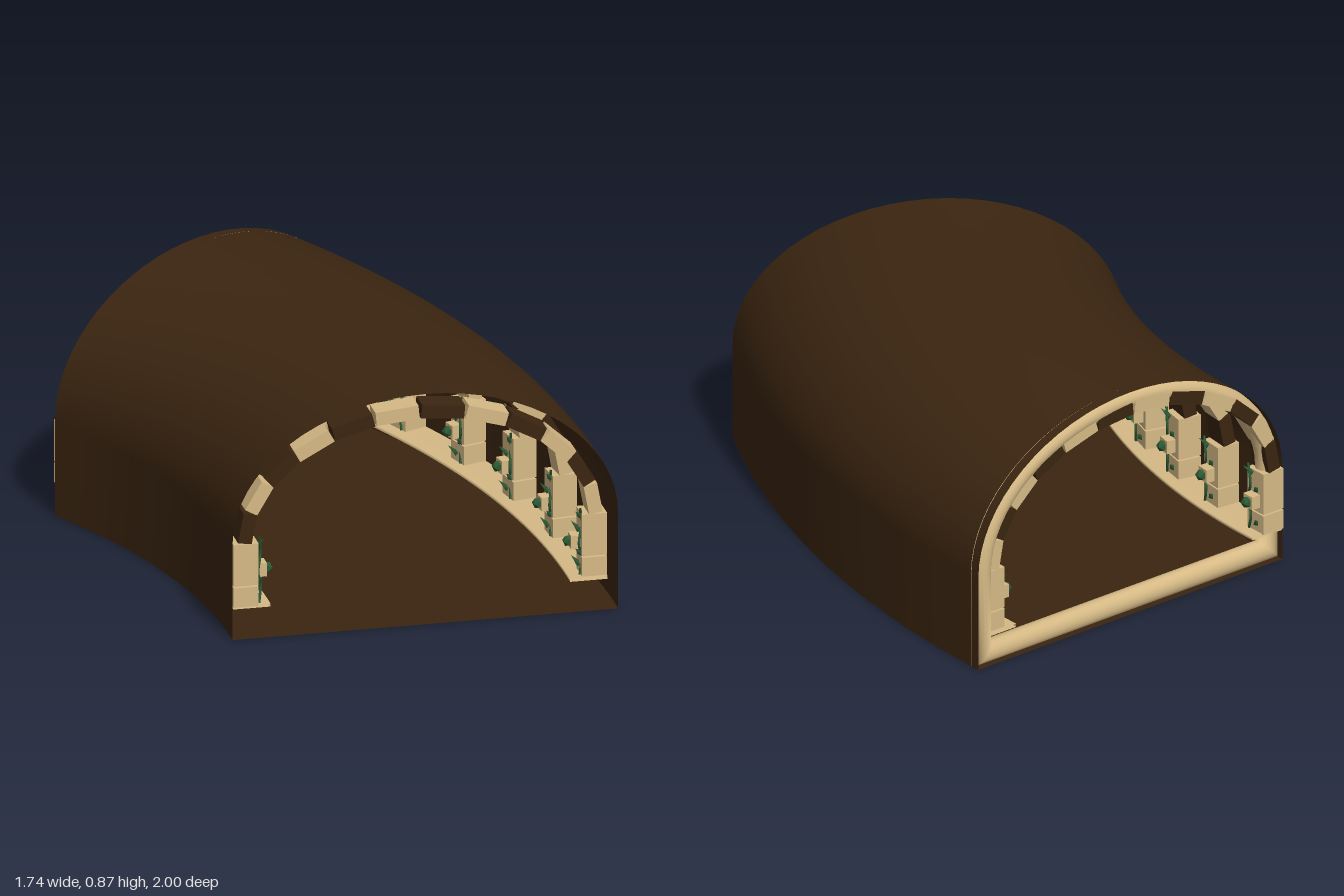
import * as THREE from 'three';

const PIVOT_X = -3.12, PIVOT_Z = 1;      // centre of the bend
const MID = 3.295, HALF = 0.695;         // centreline radius, half width
const SPRING = 0.36, TOP = 0.87;         // where the arch starts and ends
const BEND = Math.PI / 6;

const mat = (name, color, side = THREE.FrontSide) => {
  const m = new THREE.MeshStandardMaterial({ color, side });
  m.name = name;
  return m;
};

// Arch outline as [radius, y], from the outer foot over the top to the inner foot
function archOutline(inset = 0, base = 0, n = 32) {
  const pts = [[MID + HALF - inset, base]];
  for (let i = 0; i <= n; i++) {
    const a = (Math.PI * i) / n;
    pts.push([MID + (HALF - inset) * Math.cos(a), SPRING + (TOP - SPRING - inset) * Math.sin(a)]);
  }
  pts.push([MID - HALF + inset, base]);
  return pts;
}

// Indexed surface from equal rows of points
function loft(rows, closeAcross = false) {
  const n = rows[0].length, pos = rows.flat(2), idx = [];
  const cols = closeAcross ? n : n - 1;
  for (let r = 0; r < rows.length - 1; r++) {
    for (let c = 0; c < cols; c++) {
      const a = r * n + c, b = r * n + ((c + 1) % n);
      idx.push(a, b, b + n, a, b + n, a + n);
    }
  }
  const g = new THREE.BufferGeometry();
  g.setAttribute('position', new THREE.Float32BufferAttribute(pos, 3));
  g.setIndex(idx);
  g.computeVertexNormals();
  return g;
}

// Carry a [radius, y] profile round the bend
function sweep(profile, steps = 32) {
  const rows = [];
  for (let i = 0; i <= steps; i++) {
    const t = (BEND * i) / steps;
    rows.push(profile.map(([r, y]) => [r * Math.cos(t), y, -r * Math.sin(t)]));
  }
  return loft(rows);
}

export function createModel() {
  const earth = mat('dark brown earth', 0x3b2510, THREE.DoubleSide);
  const wood = mat('dark brown block', 0x3b2510);
  const stone = mat('cream stone', 0xd6ba86);
  const trim = mat('cream trim', 0xd6ba86, THREE.DoubleSide);
  const green = mat('leaf green', 0x2c5a34, THREE.DoubleSide);

  const model = new THREE.Group();
  model.name = 'curvedTunnel';
  const bend = new THREE.Group();
  bend.name = 'bend';
  bend.position.set(PIVOT_X, 0, PIVOT_Z);
  model.add(bend);

  const add = (parent, name, geo, material, x = 0, y = 0, z = 0) => {
    const m = new THREE.Mesh(geo, material);
    m.name = name;
    m.position.set(x, y, z);
    parent.add(m);
    return m;
  };

  // Thin shell and floor
  add(bend, 'shell', sweep(archOutline()), earth);
  add(bend, 'floor', sweep([[MID - HALF, 0], [MID + HALF, 0]]), earth);

  // Rounded frame round the back opening
  const R = 0.04, rows = [];
  for (let k = 0; k <= 16; k++) {
    const a = (k / 16) * Math.PI * 2, inset = R - R * Math.cos(a);
    rows.push(archOutline(inset, inset).map(([r, y]) => [r, y, R + R * Math.sin(a)]));
  }
  const frame = add(bend, 'backFrame', loft(rows, true), trim);
  frame.rotation.y = BEND;

  // Ledges along both walls
  const CENTRE = 3.277;
  const ledge = (r0, r1) => sweep([[r0, 0.115], [r1, 0.115], [r1, 0.127], [r0, 0.127], [r0, 0.115]]);
  add(bend, 'rightLedge', ledge(CENTRE - 0.675, CENTRE - 0.54), trim);
  add(bend, 'leftLedge', ledge(CENTRE + 0.54, CENTRE + 0.675), trim);

  // Shared parts of the ribs
  const DEPTH = 0.09, A = 0.63, B = 0.44, COUNT = 12;
  const lower = new THREE.BoxGeometry(0.09, 0.073, DEPTH);
  const upper = new THREE.BoxGeometry(0.09, 0.157, DEPTH);
  const lampBox = new THREE.BoxGeometry(0.04, 0.05, 0.05);
  const bud = new THREE.IcosahedronGeometry(0.022, 0);
  const leaf = new THREE.ConeGeometry(0.012, 0.045, 4);
  const vinePath = new THREE.CatmullRomCurve3([
    [0, 0.13, 0.01], [0.012, 0.19, -0.015], [-0.006, 0.25, 0.02], [0.01, 0.31, -0.01], [0, 0.38, 0.015],
  ].map((p) => new THREE.Vector3(...p)));
  const vine = new THREE.TubeGeometry(vinePath, 16, 0.005, 5);

  // Six ribs: stone columns with lamps and vines, joined by an arch of alternating blocks
  for (let k = 0; k < 6; k++) {
    const rib = new THREE.Group();
    rib.name = 'rib' + (k + 1);
    rib.rotation.y = THREE.MathUtils.degToRad(0.8 + k * 5.68);
    bend.add(rib);

    for (const s of [-1, 1]) {
      const x = CENTRE + s * A;
      const face = CENTRE + s * (A - 0.05);
      add(rib, 'columnBase', lower, stone, x, 0.161, 0);
      add(rib, 'columnTop', upper, stone, x, 0.282, 0);
      add(rib, 'lamp', lampBox, stone, CENTRE + s * (A - 0.06), 0.25, 0);
      add(rib, 'lampLeaves', bud, green, CENTRE + s * (A - 0.085), 0.25, 0);
      add(rib, 'vine', vine, green, face, 0, 0.02);
      [0.17, 0.22, 0.3, 0.36].forEach((y, i) => {
        const l = add(rib, 'leaf', leaf, green, face - s * 0.006, y, i % 2 ? 0.03 : -0.015);
        l.rotation.set(i % 2 ? 0.7 : -0.7, 0, s * 0.6);
      });
    }

    for (let i = 0; i < COUNT; i++) {
      const t = ((i + 0.5) / COUNT) * Math.PI;
      const dx = -A * Math.sin(t), dy = B * Math.cos(t);
      const len = Math.hypot(dx, dy) * (Math.PI / COUNT) * 0.95;
      const block = add(rib, 'archBlock', new THREE.BoxGeometry(len, 0.05, DEPTH),
        i % 2 ? wood : stone, CENTRE + A * Math.cos(t), SPRING + B * Math.sin(t), 0);
      block.rotation.z = Math.atan2(dy, dx);
    }
  }
  return model;
}
